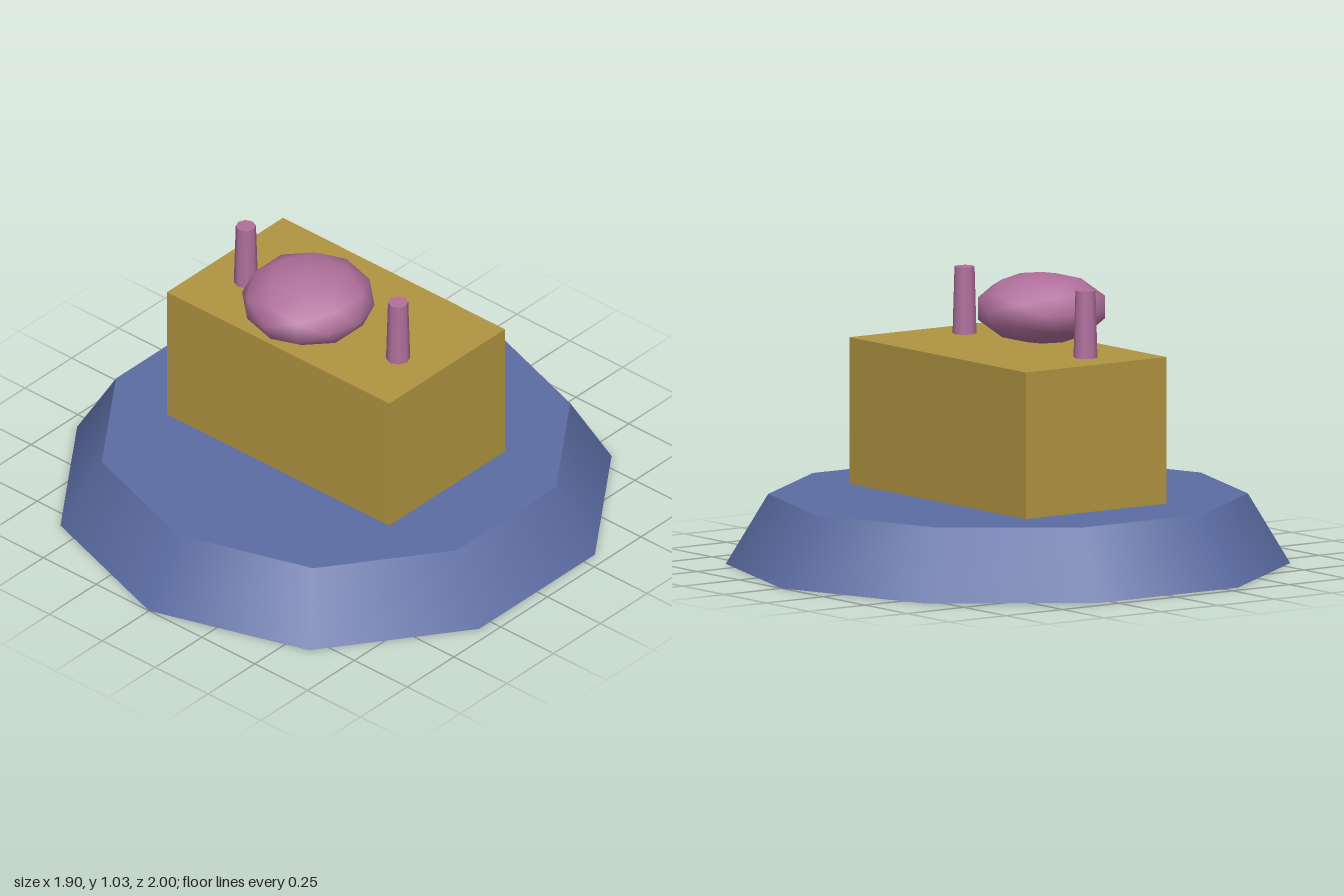
import * as THREE from 'three';

const paint = (color) => new THREE.MeshStandardMaterial({ color });

export function createModel() {
  const model = new THREE.Group();
  const blue = paint(0x5b6ca3), ochre = paint(0xb09440), pink = paint(0xb0709c);

  const add = (name, geometry, material, x, y, z) => {
    const mesh = new THREE.Mesh(geometry, material);
    mesh.name = name;
    mesh.position.set(x, y, z);
    model.add(mesh);
    return mesh;
  };

  // Ten-sided tapered base, standing on the floor
  add('base', new THREE.CylinderGeometry(0.85, 1, 0.25, 10), blue, 0, 0.125, 0);

  // Rectangular body
  add('body', new THREE.BoxGeometry(1.05, 0.525, 0.62), ochre, 0, 0.5125, 0);

  // Flattened faceted dome, set towards the front
  const dome = add('dome', new THREE.IcosahedronGeometry(0.238, 1), pink, 0, 0.903, 0.148);
  dome.scale.y = 0.54;

  // Pair of tapered pegs
  const pegGeometry = new THREE.CylinderGeometry(0.036, 0.043, 0.24, 8);
  for (const [name, side] of [['leftPeg', 1], ['rightPeg', -1]]) {
    add(name, pegGeometry, pink, side * 0.36, 0.895, 0.075);
  }

  return model;
}
